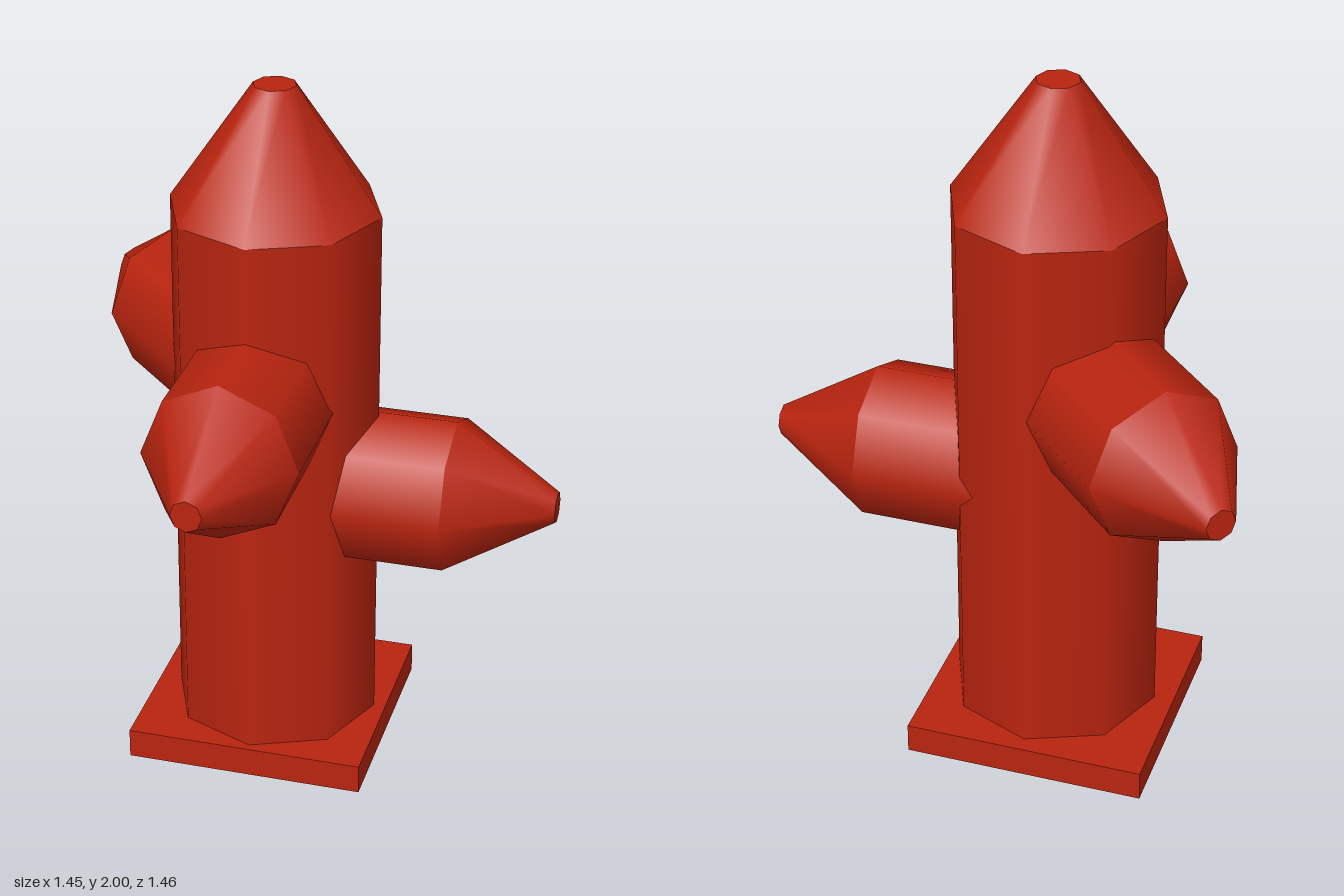
import * as THREE from 'three';

const SIDES = 8;

// Straight barrel topped by a truncated cone, running from the origin along +y
function barrelAndCone(name, radius, tipRadius, shoulder, tip, material) {
  const group = new THREE.Group();
  group.name = name;

  const barrel = new THREE.Mesh(
    new THREE.CylinderGeometry(radius, radius, shoulder, SIDES, 1, true), material);
  barrel.name = name + 'Barrel';
  barrel.position.y = shoulder / 2;

  // The cone's closed lower end sits inside the barrel's mouth
  const cone = new THREE.Mesh(
    new THREE.CylinderGeometry(tipRadius, radius, tip - shoulder, SIDES), material);
  cone.name = name + 'Cone';
  cone.position.y = (shoulder + tip) / 2;

  group.add(barrel, cone);
  return group;
}

export function createModel() {
  const model = new THREE.Group();
  model.name = 'hydrant';
  const red = new THREE.MeshStandardMaterial({ color: 0xb9240f });
  red.name = 'hydrantRed';

  // Square foot plate
  const base = new THREE.Mesh(new THREE.BoxGeometry(0.687, 0.087, 0.665), red);
  base.name = 'base';
  base.position.set(-0.094, 0.0435, -0.12);
  model.add(base);

  // Upright body with pointed cap
  const body = barrelAndCone('body', 0.298, 0.06, 1.6, 1.95, red);
  body.position.set(-0.083, 0.05, -0.108);
  model.add(body);

  // Outlets: start point, heading about y (0 faces front), shoulder and tip distances
  const outlets = [
    ['frontOutlet', [-0.083, 1.147, -0.108], 0, 0.545, 0.837],
    ['leftOutlet', [-0.083, 0.828, -0.12], Math.PI / 2, 0.518, 0.809],
    ['rearOutlet', [-0.083, 1.147, -0.087], -3 * Math.PI / 4, 0.579, 0.868],
  ];
  for (const [name, start, heading, shoulder, tip] of outlets) {
    const outlet = barrelAndCone(name, 0.217, 0.043, shoulder, tip, red);
    outlet.position.set(...start);
    outlet.rotation.set(Math.PI / 2, 0, -heading);
    outlet.scale.z = 1.05; // slightly taller than wide
    model.add(outlet);
  }

  return model;
}
